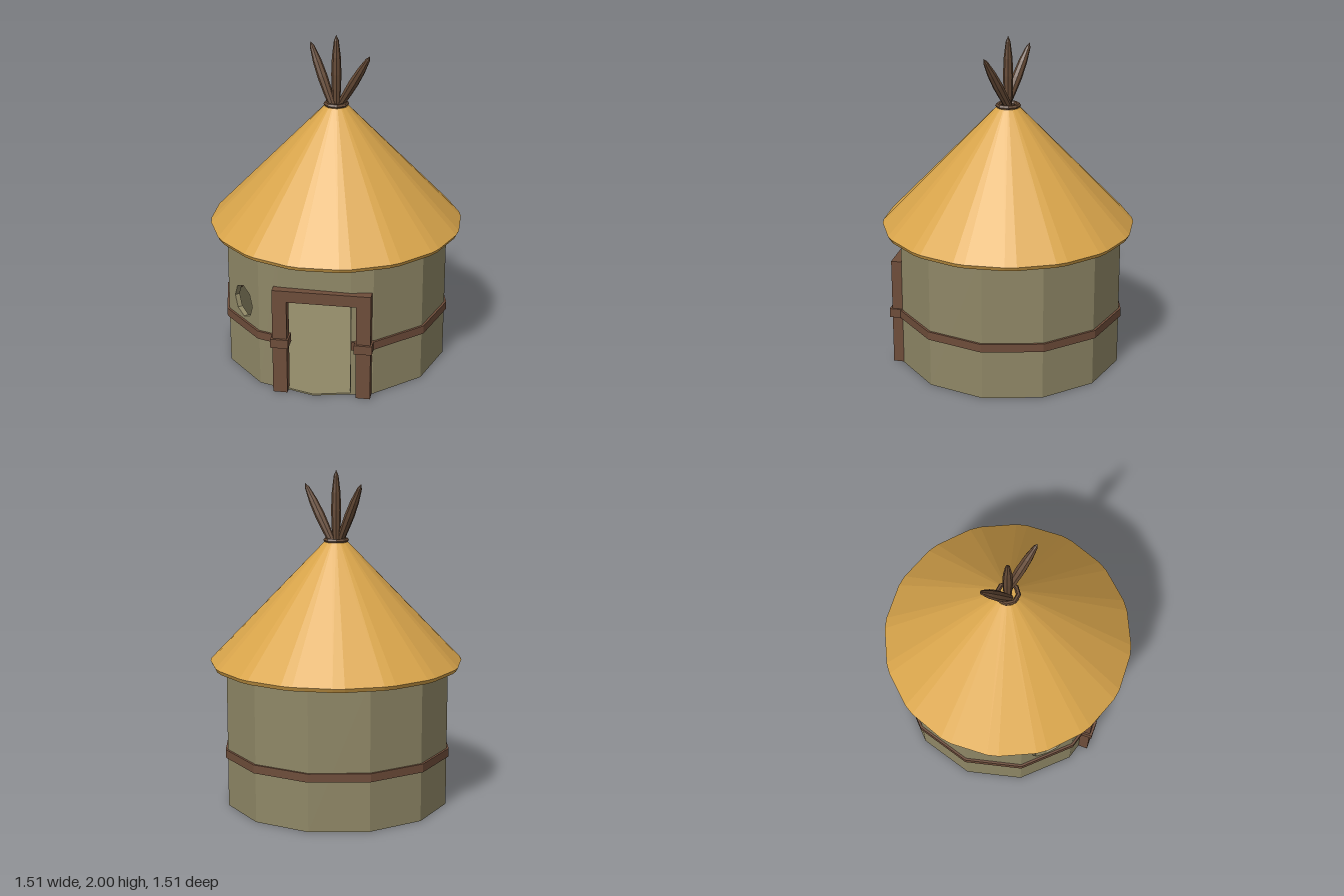
import * as THREE from 'three';

const mat = (name, color) => Object.assign(new THREE.MeshStandardMaterial({
  color, flatShading: true, side: THREE.DoubleSide }), { name });
const clay = mat('clay', 0x8f8766);
const thatch = mat('thatch', 0xd9a54b);
const wood = mat('wood', 0x6e4d3a);
const darkWood = mat('dark wood', 0x644935);

const DEG = Math.PI / 180;
const WALL_R = 0.678, WALL_TOP = 0.89;
const CENTER = [-0.0115, -0.0055];

function add(parent, name, geometry, material) {
  let g = geometry.index ? geometry.toNonIndexed() : geometry;
  g.computeVertexNormals();
  const mesh = new THREE.Mesh(g, material);
  mesh.name = name;
  parent.add(mesh);
  return mesh;
}

// plan point at an azimuth measured from +z towards +x, on a twelve-sided outline
function planPoint(az, radius) {
  const apothem = radius * Math.cos(15 * DEG);
  const fromMiddle = (((az % 30) + 30) % 30) - 15;
  const r = apothem / Math.cos(fromMiddle * DEG);
  return new THREE.Vector2(r * Math.sin(az * DEG), r * Math.cos(az * DEG));
}

// upright slab between two azimuths, thickened inwards, with an optional hole
function panel(az0, az1, radius, y0, y1, thick, hole) {
  const a = planPoint(az0, radius), b = planPoint(az1, radius);
  const half = a.distanceTo(b) / 2;
  const shape = new THREE.Shape([
    new THREE.Vector2(-half, y0), new THREE.Vector2(half, y0),
    new THREE.Vector2(half, y1), new THREE.Vector2(-half, y1)]);
  if (hole) shape.holes.push(hole);
  const g = new THREE.ExtrudeGeometry(shape, { depth: thick, bevelEnabled: false });
  g.translate(0, 0, -thick);
  g.rotateY(Math.atan2(-(b.y - a.y), b.x - a.x));
  return g.translate((a.x + b.x) / 2, 0, (a.y + b.y) / 2);
}

// spear-shaped pole from a base point to a tip
function pole(parent, base, tip) {
  const from = new THREE.Vector3(...base), dir = new THREE.Vector3(...tip).sub(from);
  const L = dir.length();
  const profile = [[0, 0], [0.02, 0.01], [0.027, 0.3], [0.03, 0.5], [0.026, 0.72], [0.014, 0.93], [0, 1]]
    .map(([r, t]) => new THREE.Vector2(r, t * L));
  const mesh = add(parent, 'roofPole', new THREE.LatheGeometry(profile, 8), darkWood);
  mesh.position.copy(from);
  mesh.quaternion.setFromUnitVectors(new THREE.Vector3(0, 1, 0), dir.normalize());
}

export function createModel() {
  const hut = new THREE.Group();
  hut.name = 'hut';

  // walls, floor and band share a slightly shifted centre
  const body = new THREE.Group();
  body.name = 'walls';
  body.position.set(CENTER[0], 0, CENTER[1]);
  hut.add(body);

  const windowHole = new THREE.Path();
  for (let i = 0; i < 8; i++) {
    const t = -i * 45 * DEG, x = 0.1 * Math.cos(t), y = 0.47 + 0.1 * Math.sin(t);
    if (i) windowHole.lineTo(x, y); else windowHole.moveTo(x, y);
  }
  windowHole.closePath();

  // the doorway lies between azimuths 11 and 49
  const azimuths = [0, 11, 49, 60, 90, 120, 150, 180, 210, 240, 270, 300, 330, 360];
  for (let i = 0; i < azimuths.length - 1; i++) {
    const a = azimuths[i], b = azimuths[i + 1], isDoor = a === 11;
    add(body, isDoor ? 'doorLintelWall' : 'wallPanel',
      panel(a, b, WALL_R, isDoor ? 0.6 : 0, WALL_TOP, 0.03, a === 330 ? windowHole : null), clay);
    if (!isDoor) add(body, 'band', panel(a, b, 0.692, 0.3, 0.35, 0.06), wood);
  }
  const floor = new THREE.CylinderGeometry(WALL_R - 0.002, WALL_R - 0.002, 0.01, 12);
  add(body, 'floor', floor.translate(0, 0.005, 0), clay);

  // door frame
  const frame = new THREE.Group();
  frame.name = 'doorFrame';
  frame.position.set(0.3425, 0, 0.515);
  frame.rotation.y = 32 * DEG;
  hut.add(frame);
  const W = 0.575, w = 0.085, d = 0.07;
  for (const side of [-1, 1]) {
    const x = side * (W - w) / 2;
    add(frame, 'doorJamb', new THREE.BoxGeometry(w, 0.59, d).translate(x, 0.295, 0), wood);
    add(frame, 'jambBand', new THREE.BoxGeometry(w + 0.02, 0.055, d + 0.03).translate(x, 0.325, 0), wood);
  }
  add(frame, 'doorBeam', new THREE.BoxGeometry(W, 0.07, d).translate(0, 0.625, 0), wood);

  // hollow thatched roof: sixteen broad faces with narrow cut corners
  const profile = [[0.03, 1.53], [0.733, 0.838], [0.745, 0.838], [0.757, 0.862], [0.07, 1.575], [0, 1.575]]
    .map(p => new THREE.Vector2(...p));
  const roof = new THREE.LatheGeometry(profile, 32);
  const pos = roof.attributes.position;
  for (let i = 0; i < pos.count; i++) {
    const r = Math.hypot(pos.getX(i), pos.getZ(i));
    const k = Math.round(Math.atan2(pos.getX(i), pos.getZ(i)) / (11.25 * DEG));
    const angle = (22.5 * Math.floor(k / 2) + (k % 2 ? 2.6 : -2.6)) * DEG;
    pos.setXYZ(i, r * Math.sin(angle), pos.getY(i), r * Math.cos(angle));
  }
  add(hut, 'roof', roof, thatch);

  // binding ring and crossed poles at the peak
  const ring = new THREE.TorusGeometry(0.062, 0.014, 6, 8).rotateX(Math.PI / 2);
  add(hut, 'bindingRing', ring.translate(0, 1.585, 0), darkWood);
  pole(hut, [0, 1.53, 0], [0, 2.0, 0]);
  pole(hut, [0.01, 1.54, 0.025], [-0.195, 1.928, 0.008]);
  pole(hut, [-0.01, 1.54, -0.02], [0.23, 1.908, -0.028]);

  return hut;
}
